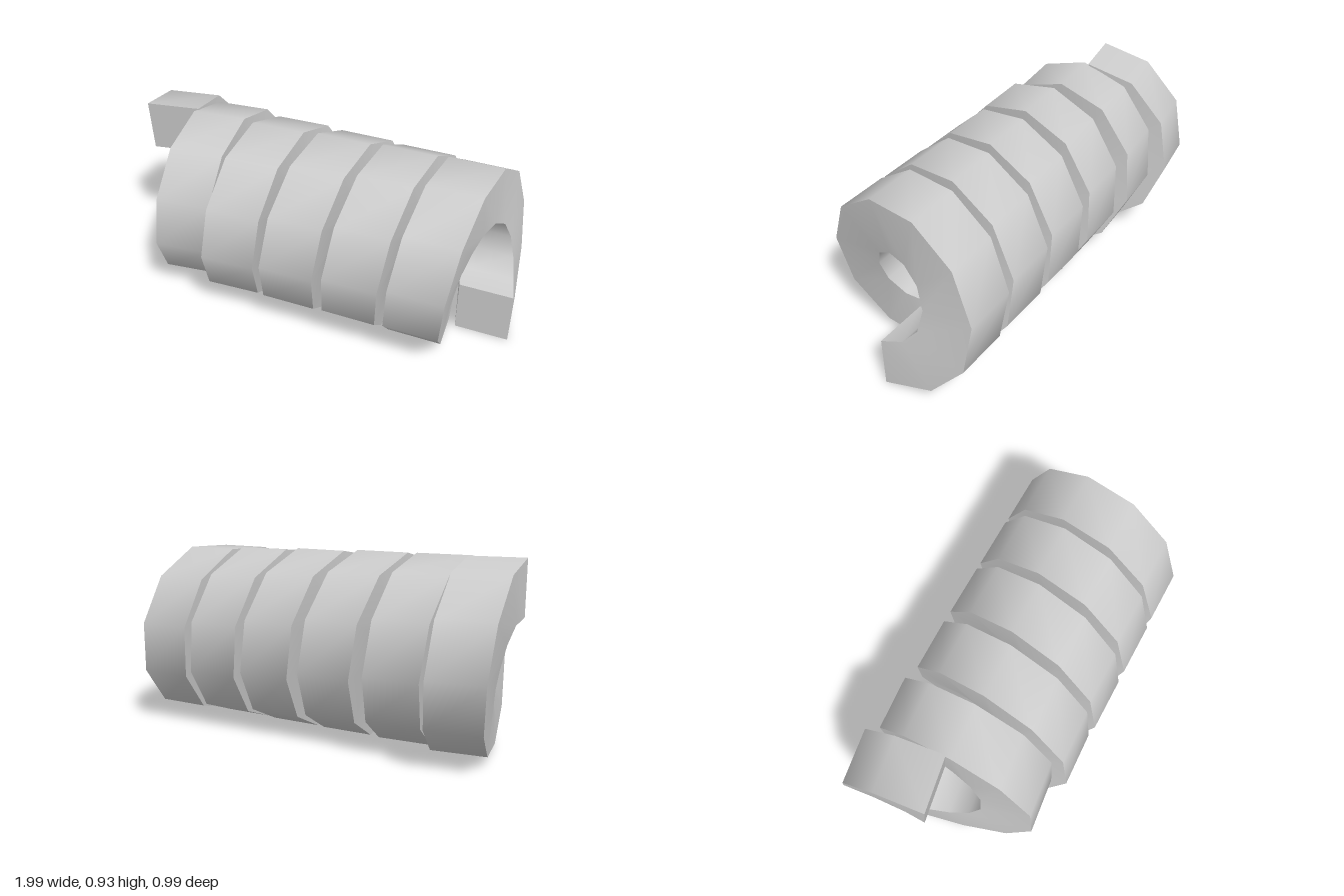
import * as THREE from 'three';

const TURNS = 5.5, SEGMENTS = 60;
const OUTER = 0.46, INNER = 0.19, HALF_WIDTH = 0.135;
// Corners of the square wire: [offset along the axis, radius]
const SECTION = [[HALF_WIDTH, OUTER], [HALF_WIDTH, INNER], [-HALF_WIDTH, INNER], [-HALF_WIDTH, OUTER]];
const Y_AXIS = new THREE.Vector3(0, 1, 0);

// One wire corner at a step along the coil; the last turns lean and drift slightly
function wirePoint(step, [offset, radius]) {
  const f = step / SEGMENTS, t = f * TURNS;
  const angle = -Math.PI / 2 + f * THREE.MathUtils.degToRad(1986);
  const lean = 0.18 * Math.max(0, (t - 2.5) / 3) ** 1.5;
  const centre = new THREE.Vector3(
    0.865 - 1.7 * f - 0.045 * Math.sin(Math.PI * f ** 3),
    0.46 + 0.015 * f,
    0.025 - 0.05 * THREE.MathUtils.smoothstep(t, 3.9, 5)
  );
  return new THREE.Vector3(offset, radius * Math.sin(angle), -radius * Math.cos(angle))
    .applyAxisAngle(Y_AXIS, lean)
    .add(centre);
}

function makeGeometry(points, index) {
  const geometry = new THREE.BufferGeometry().setFromPoints(points);
  geometry.setIndex(index);
  geometry.computeVertexNormals();
  return geometry;
}

// One face of the wire, smooth along its length
function faceStrip(a, b) {
  const points = [], index = [];
  for (let i = 0; i <= SEGMENTS; i++) {
    points.push(wirePoint(i, a), wirePoint(i, b));
    if (i < SEGMENTS) {
      const k = i * 2;
      index.push(k, k + 2, k + 1, k + 1, k + 2, k + 3);
    }
  }
  return makeGeometry(points, index);
}

// Flat square end of the wire
function endCap(step, index) {
  return makeGeometry(SECTION.map((corner) => wirePoint(step, corner)), index);
}

export function createModel() {
  const model = new THREE.Group();
  model.name = 'coilSpring';
  const material = new THREE.MeshStandardMaterial({ color: 0xcccccc });
  const add = (name, geometry) => {
    const mesh = new THREE.Mesh(geometry, material);
    mesh.name = name;
    model.add(mesh);
  };

  // Four long faces of the wire
  ['leftFace', 'innerFace', 'rightFace', 'outerFace'].forEach((name, i) =>
    add(name, faceStrip(SECTION[i], SECTION[(i + 1) % 4])));

  // Cut ends
  add('leftEnd', endCap(0, [0, 1, 2, 0, 2, 3]));
  add('rightEnd', endCap(SEGMENTS, [0, 2, 1, 0, 3, 2]));
  return model;
}
